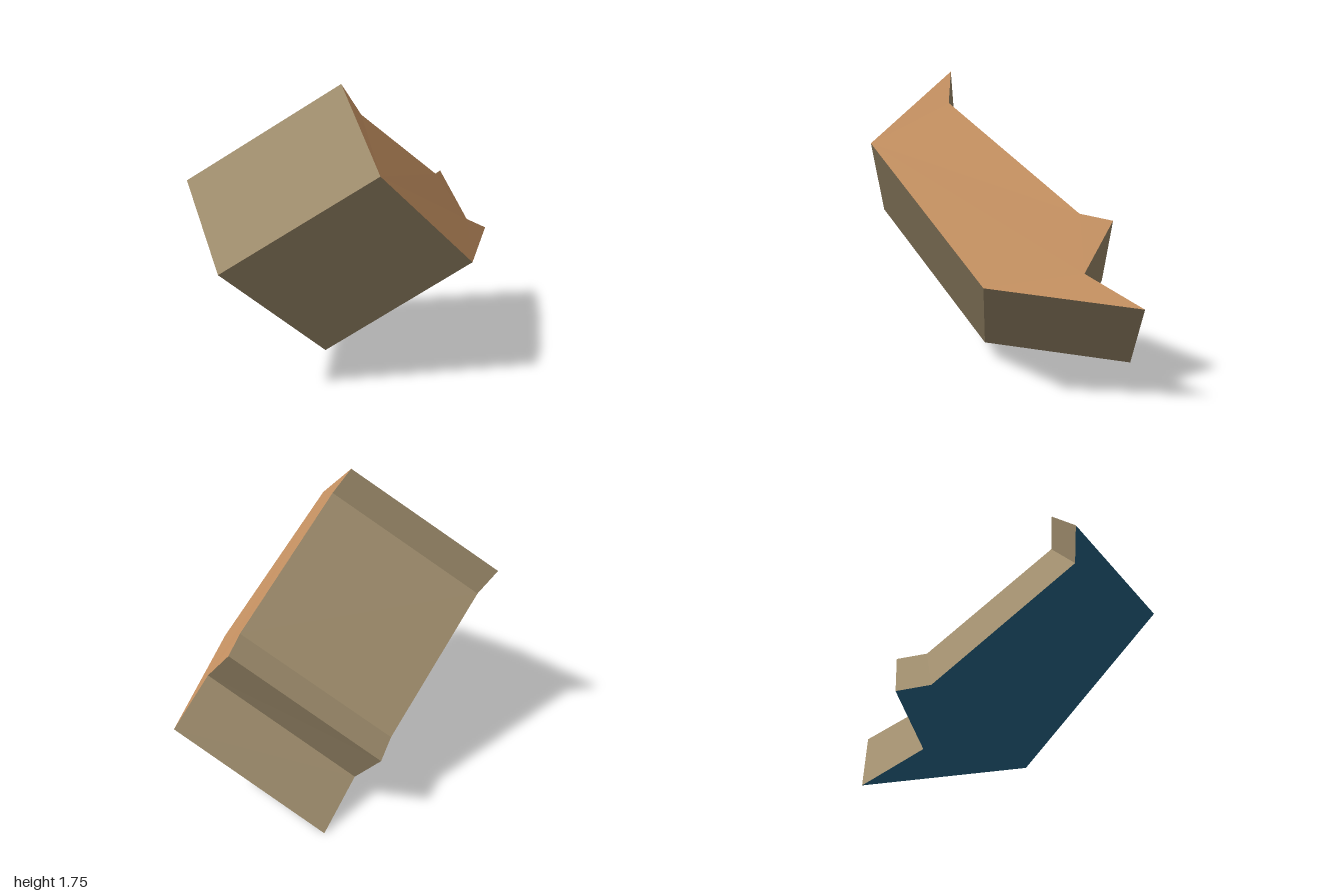
import * as THREE from 'three';

// Matching corners of the two end outlines, anticlockwise seen from the near end
const near = [
  [-0.287, 1.385, 0.715], [0.459, 0.688, 0.466], [0.997, 0.59, -0.2], [0.725, 0.755, -0.004],
  [0.675, 1.005, -0.234], [0.557, 1.04, -0.095], [-0.16, 1.59, 0.284], [-0.244, 1.753, 0.216],
].map(p => new THREE.Vector3(...p));
const far = [
  [-1, 0.818, 0.244], [-0.24, 0.105, -0.005], [0.308, 0, -0.687], [0.034, 0.175, -0.49],
  [-0.018, 0.43, -0.72], [-0.145, 0.463, -0.58], [-0.868, 1.025, -0.197], [-0.953, 1.19, -0.265],
].map(p => new THREE.Vector3(...p));

function flatMesh(name, points, material) {
  const geometry = new THREE.BufferGeometry().setFromPoints(points);
  geometry.computeVertexNormals();
  const mesh = new THREE.Mesh(geometry, material);
  mesh.name = name;
  return mesh;
}

export function createModel() {
  const group = new THREE.Group();
  group.name = 'notchedBlock';
  const material = (name, color) =>
    new THREE.MeshStandardMaterial({ name, color, flatShading: true });
  const tan = material('tan', 0x9e8c6c);
  const orange = material('orange', 0xcc9665);
  const blue = material('blue', 0x246283);

  // End caps share one triangulation of the notched outline
  const outline = near.map(p => new THREE.Vector2(p.x, p.y));
  const faces = THREE.ShapeUtils.triangulateShape(outline, []);
  group.add(flatMesh('nearEnd', faces.flatMap(f => f.map(i => near[i])), orange));
  group.add(flatMesh('farEnd', faces.flatMap(([a, b, c]) => [far[a], far[c], far[b]]), blue));

  // Long side walls join the two outlines
  const walls = near.flatMap((p, i) => {
    const j = (i + 1) % near.length;
    return [p, far[i], far[j], p, far[j], near[j]];
  });
  group.add(flatMesh('sideWalls', walls, tan));
  return group;
}
